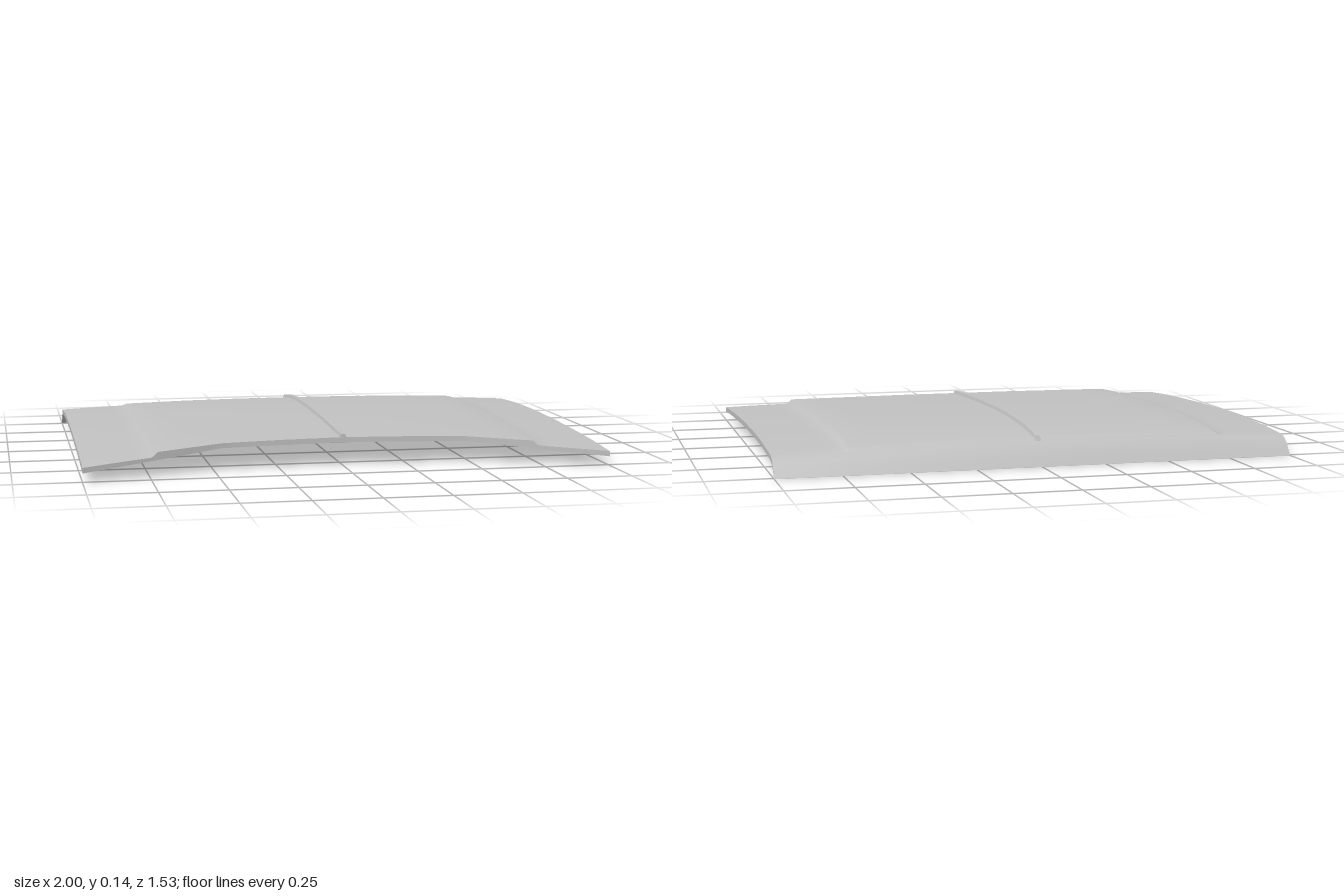
import * as THREE from 'three';
import { toCreasedNormals } from 'three/addons/utils/BufferGeometryUtils.js';

// Piecewise-linear lookup through [position, value] pairs
function curve(pts, v) {
  if (v <= pts[0][0]) return pts[0][1];
  for (let i = 1; i < pts.length; i++) {
    const [a, fa] = pts[i - 1], [b, fb] = pts[i];
    if (v <= b) return fa + (fb - fa) * (v - a) / (b - a);
  }
  return pts[pts.length - 1][1];
}

const BACK = -0.766;
const front = x => curve([[0, 0.573], [0.46, 0.598], [0.73, 0.685], [1, 0.766]], Math.abs(x));
const crown = x => curve([[0, 0.112], [0.24, 0.111], [0.47, 0.108], [0.73, 0.101], [0.88, 0.095], [1, 0.089]], Math.abs(x));
const arch = z => curve([[-0.77, -0.024], [-0.68, -0.017], [-0.6, -0.011], [-0.5, -0.006], [-0.4, -0.002],
  [-0.25, 0], [-0.1, 0], [0.1, -0.003], [0.3, -0.009], [0.5, -0.017], [0.6, -0.022], [0.77, -0.034]], z);
// Rolled-down lip along the back
const lip = z => curve([[BACK, 0], [-0.745, 0.4], [-0.725, 0.73], [-0.705, 0.93], [-0.685, 0.99], [-0.66, 1]], z);
// Raised middle panel, fading towards the back
const step = (x, z) => curve([[0.715, 1], [0.722, 0.92], [0.738, 0.12], [0.745, 0]], Math.abs(x))
  * curve([[-0.702, 0], [-0.695, 0.006], [-0.55, 0.014], [-0.3, 0.018]], z);

const topY = (x, z) => (crown(x) + arch(z)) * lip(z) + step(x, z);
const frontUnder = x => curve([[0, 0.09], [0.47, 0.085], [1, 0.035]], Math.abs(x));

// Underside: straight from back edge to front edge, curling up to the arched rim at the sides
function underY(x, z) {
  const t = (z - BACK) / (front(x) - BACK);
  const flat = frontUnder(x) * t;
  const rim = topY(x, z) - 0.02 * Math.min(1, lip(z) * 1.2);
  const k = curve([[0.8, 0], [1, 1]], Math.abs(x)) * curve([[0, 1], [0.97, 1], [1, 0]], t);
  return flat + (rim - flat) * k;
}

// Stations across and along the panel
const half = [0, 0.12, 0.24, 0.36, 0.47, 0.6, 0.715, 0.722, 0.738, 0.745, 0.8, 0.9, 1];
const xs = [...half.slice(1).reverse().map(x => -x), ...half];
const backRows = [BACK, -0.745, -0.725, -0.705, -0.702, -0.695, -0.685, -0.66, -0.6, -0.55, -0.5, -0.4];
const rows = backRows.length + 12;
const zAt = (j, x) => j < backRows.length ? backRows[j]
  : -0.4 + (front(x) + 0.4) * (j - backRows.length + 1) / 12;

// Sheet of quads; faces point along (i direction) x (j direction)
function sheet(ni, nj, point, crease = 0.5) {
  const pos = [], index = [];
  for (let i = 0; i < ni; i++) for (let j = 0; j < nj; j++) pos.push(...point(i, j));
  for (let i = 0; i < ni - 1; i++) for (let j = 0; j < nj - 1; j++) {
    const a = i * nj + j, b = a + nj;
    index.push(a, b, b + 1, a, b + 1, a + 1);
  }
  const g = new THREE.BufferGeometry();
  g.setAttribute('position', new THREE.Float32BufferAttribute(pos, 3));
  g.setIndex(index);
  return toCreasedNormals(g, crease);
}

export function createModel() {
  const group = new THREE.Group();
  const paint = new THREE.MeshStandardMaterial({ color: 0xc0c0c0 });
  paint.name = 'greyPaint';
  const add = (name, geometry) => {
    const mesh = new THREE.Mesh(geometry, paint);
    mesh.name = name;
    group.add(mesh);
  };
  const top = (x, z) => [x, topY(x, z), z];
  const under = (x, z) => [x, underY(x, z), z];

  // Upper and lower skins
  add('topSkin', sheet(rows, xs.length, (j, i) => top(xs[i], zAt(j, xs[i]))));
  add('underside', sheet(xs.length, rows, (i, j) => under(xs[i], zAt(j, xs[i]))));

  // Edges joining the skins
  add('frontEdge', sheet(xs.length, 2, (i, k) => (k ? top : under)(xs[i], front(xs[i]))));
  add('leftEdge', sheet(2, rows, (k, j) => (k ? top : under)(1, zAt(j, 1))));
  add('rightEdge', sheet(rows, 2, (j, k) => (k ? top : under)(-1, zAt(j, -1))));

  // Centre ridge with a front cap
  const section = [[-0.013, -0.002], [-0.008, 0.012], [0.008, 0.012], [0.013, -0.002]];
  const first = backRows.indexOf(-0.702);
  const ridge = (j, k) => {
    const z = zAt(j, 0), [x, h] = section[k];
    return [x, topY(0, z) + (j === first ? Math.min(h, 0) : h), z];
  };
  add('centreRidge', sheet(rows - first, 4, (j, k) => ridge(j + first, k)));
  add('ridgeCap', sheet(2, 2, (i, k) => ridge(rows - 1, i ? 3 - k : k)));
  return group;
}
